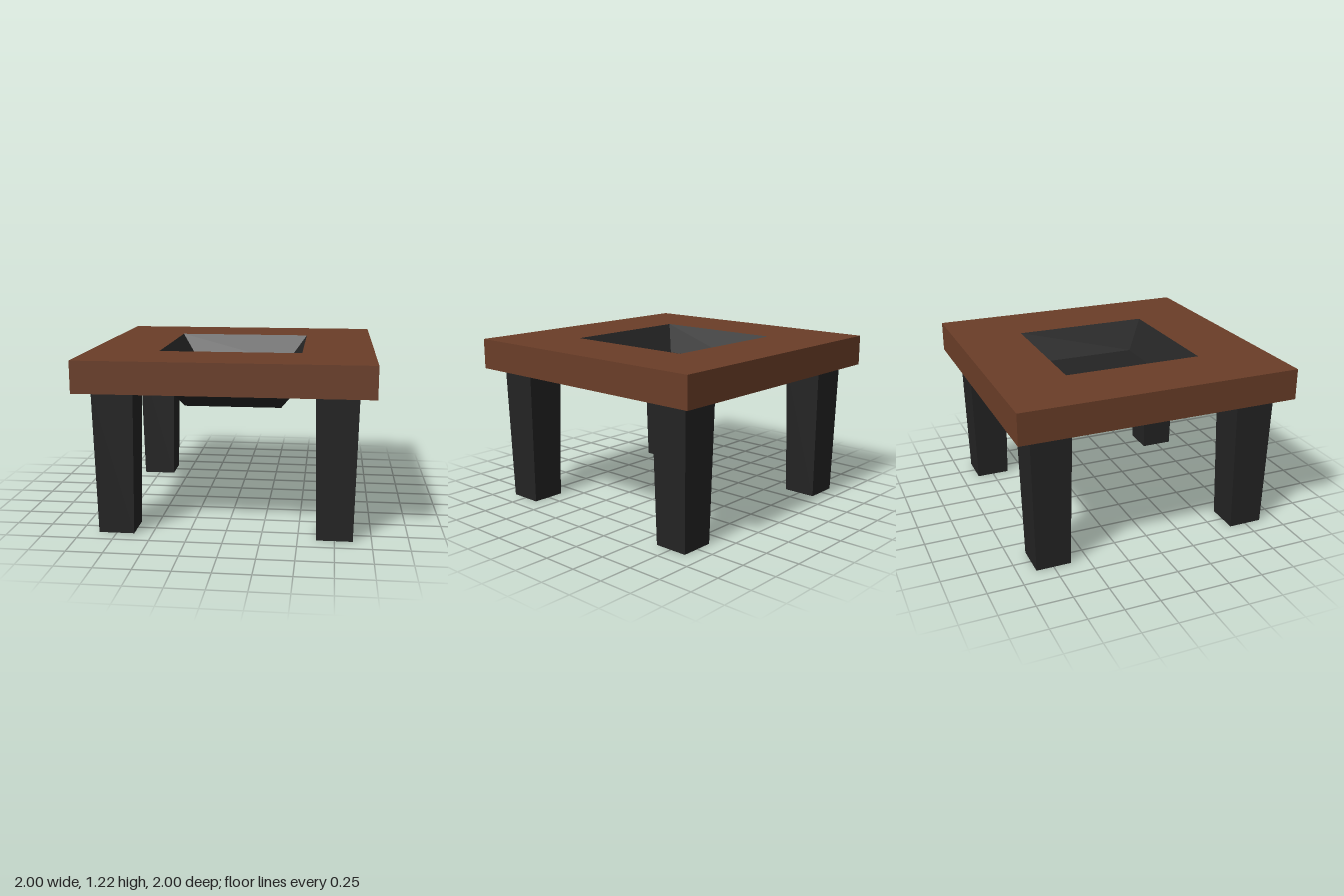
import * as THREE from 'three';

const wood = new THREE.MeshStandardMaterial({ color: 0x6b3e28 });
const dark = new THREE.MeshStandardMaterial({ color: 0x242424 });

// Square part turned from a profile of [half width, height], from underside to top
function squareLathe(name, profile, material) {
  const points = profile.map(([half, y]) => new THREE.Vector2(half * Math.SQRT2, y));
  const geometry = new THREE.LatheGeometry(points, 4, Math.PI / 4).toNonIndexed();
  geometry.computeVertexNormals();
  const mesh = new THREE.Mesh(geometry, material);
  mesh.name = name;
  return mesh;
}

export function createModel() {
  const table = new THREE.Group();
  table.name = 'table';

  // Wooden rim and top surface around the square opening
  table.add(squareLathe('tabletop', [[1, 1], [1, 1.22], [0.5, 1.22]], wood));

  // Sunken basin inside the opening
  table.add(squareLathe('basin', [[0.5, 1.22], [0.35, 1.02], [0, 1.02]], dark));

  // Dark underside with the tapered basin housing
  table.add(squareLathe('underside', [[0, 0.8], [0.35, 0.8], [0.5, 1], [1, 1]], dark));

  // Four legs, slightly wider at the top
  for (const x of [-0.75, 0.75]) {
    for (const z of [-0.75, 0.75]) {
      const name = (z > 0 ? 'front' : 'back') + (x > 0 ? 'Left' : 'Right') + 'Leg';
      const leg = squareLathe(name, [[0, 0], [0.123, 0], [0.143, 1]], dark);
      leg.position.set(x, 0, z);
      table.add(leg);
    }
  }
  return table;
}
